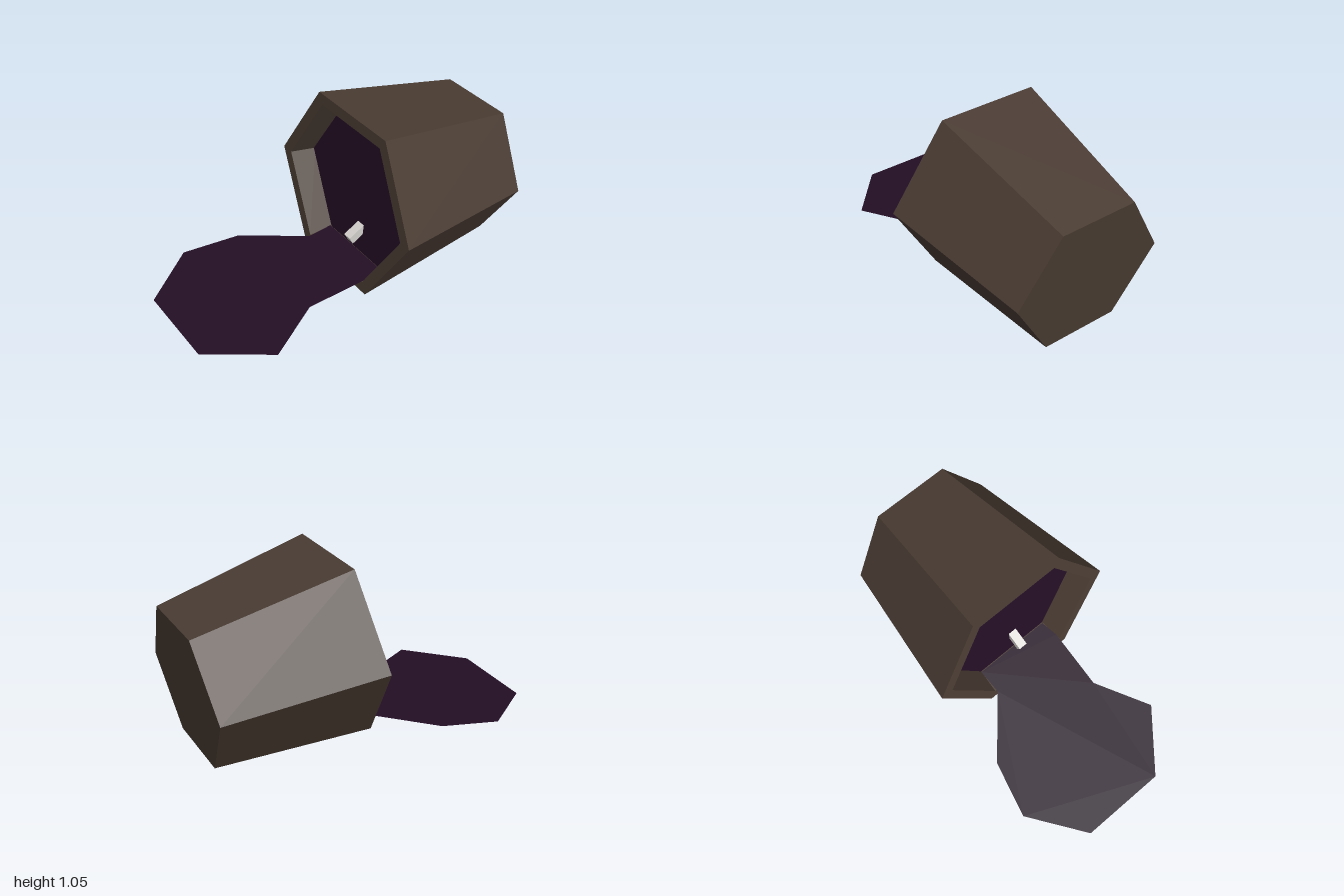
import * as THREE from 'three';

const flat = (name, color, side = THREE.FrontSide) => {
  const m = new THREE.MeshStandardMaterial({ color, flatShading: true, side });
  m.name = name;
  return m;
};

// Six-sided solid of revolution from [radius, height] pairs
const hexLathe = (profile) =>
  new THREE.LatheGeometry(profile.map(([r, y]) => new THREE.Vector2(r, y)), 6);

export function createModel() {
  const wood = flat('dark brown', 0x4a3c33);
  const goo = flat('dark purple', 0x240e25, THREE.DoubleSide);
  const bone = flat('off white', 0xd2cfcb);

  const model = new THREE.Group();
  model.name = 'tippedBucket';
  const add = (name, geometry, material, parent = model) => {
    const mesh = new THREE.Mesh(geometry, material);
    mesh.name = name;
    parent.add(mesh);
    return mesh;
  };

  // Bucket frame: local y points out of the mouth, local z runs level across it
  const bucket = new THREE.Group();
  bucket.name = 'bucket';
  const across = new THREE.Vector3(0.75, 0, 0.66).normalize();
  const out = new THREE.Vector3(-0.656, 0.115, 0.745).normalize();
  const side = new THREE.Vector3().crossVectors(out, across).normalize();
  bucket.quaternion.setFromRotationMatrix(new THREE.Matrix4().makeBasis(side, out, across));
  bucket.position.set(0.005, 0.533, 0.06);
  model.add(bucket);

  // Base, outer wall, rim and inner wall
  add('bucketShell', hexLathe([[0, -0.96], [0.475, -0.96], [0.606, 0], [0.53, 0], [0.5, -0.16]]), wood, bucket);
  // Contents filling the bucket
  add('liquidSurface', hexLathe([[0.502, -0.15], [0, -0.15]]), goo, bucket);

  // Spill: an outline in x and z, sloping gently down to the ground
  const outline = [
    [-0.125, -0.177], [-0.23, -0.06], [-0.67, 0], [-0.96, 0.2], [-1, 0.61],
    [-0.605, 0.96], [-0.17, 0.89], [-0.085, 0.52], [0.19, 0.25], [0.25, 0.153],
  ];
  const spill = new THREE.ShapeGeometry(
    new THREE.Shape(outline.map(([x, z]) => new THREE.Vector2(x, -z)))
  ).rotateX(-Math.PI / 2);
  const p = spill.attributes.position;
  for (let i = 0; i < p.count; i++) {
    const run = -0.66 * p.getX(i) + 0.75 * p.getZ(i);
    p.setY(i, 0.087 - 0.0735 * run);
  }
  spill.computeVertexNormals();
  add('spill', spill, goo);

  // Small pale chunk poking out of the contents
  const chunk = add('chunk', new THREE.BoxGeometry(0.055, 0.055, 0.2), bone);
  chunk.position.set(0.1, 0.245, -0.015);
  chunk.lookAt(0.1 - 0.08, 0.245 - 0.06, -0.015 + 0.09);

  return model;
}
